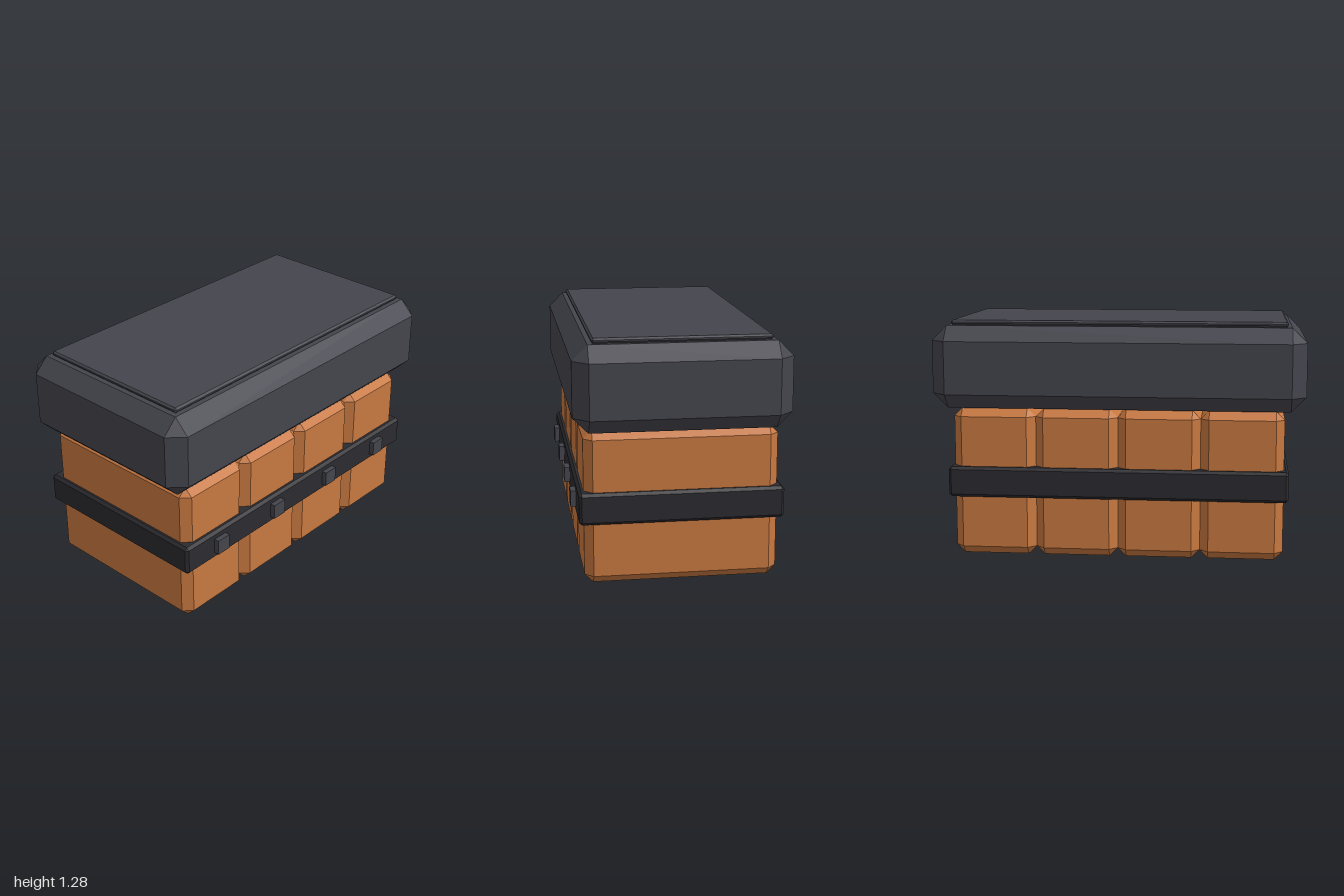
import * as THREE from 'three';
import { ConvexGeometry } from 'three/addons/geometries/ConvexGeometry.js';

const paint = (color) => new THREE.MeshStandardMaterial({ color, flatShading: true });

// Box with every edge cut at 45 degrees: each corner becomes three points.
function chamferBox(w, h, d, c) {
  const pts = [];
  for (const sx of [-1, 1]) for (const sy of [-1, 1]) for (const sz of [-1, 1]) {
    const x = w / 2, y = h / 2, z = d / 2;
    for (const [a, b, e] of [[0, c, c], [c, 0, c], [c, c, 0]]) {
      pts.push(new THREE.Vector3(sx * (x - a), sy * (y - b), sz * (z - e)));
    }
  }
  return new ConvexGeometry(pts);
}

export function createModel() {
  const model = new THREE.Group();
  model.name = 'batteryPack';
  const orange = paint(0xc87840);
  const grey = paint(0x44444d);
  const dark = paint(0x2b2b30);

  const add = (name, geometry, material, x, y, z) => {
    const mesh = new THREE.Mesh(geometry, material);
    mesh.name = name;
    mesh.position.set(x, y, z);
    model.add(mesh);
  };

  // Four cells side by side, each with a small stud on the front of the strap
  const pitch = 0.445;
  const cell = chamferBox(pitch, 0.807, 1.0, 0.045);
  const stud = new THREE.BoxGeometry(0.085, 0.085, 0.06);
  for (let i = 0; i < 4; i++) {
    const x = (i - 1.5) * pitch;
    add('cell' + (i + 1), cell, orange, x, 0.4035, 0);
    add('stud' + (i + 1), stud, grey, x, 0.408, 0.526);
  }

  // Strap around the cells
  add('strap', chamferBox(1.83, 0.165, 1.055, 0.015), dark, 0, 0.408, 0);

  // Cap and the thin panel on top of it
  add('cap', chamferBox(2, 0.445, 1.112, 0.08), grey, 0, 1.0295, 0);
  add('topPanel', chamferBox(1.8, 0.028, 0.912, 0.01), grey, 0, 1.265, 0);

  return model;
}
